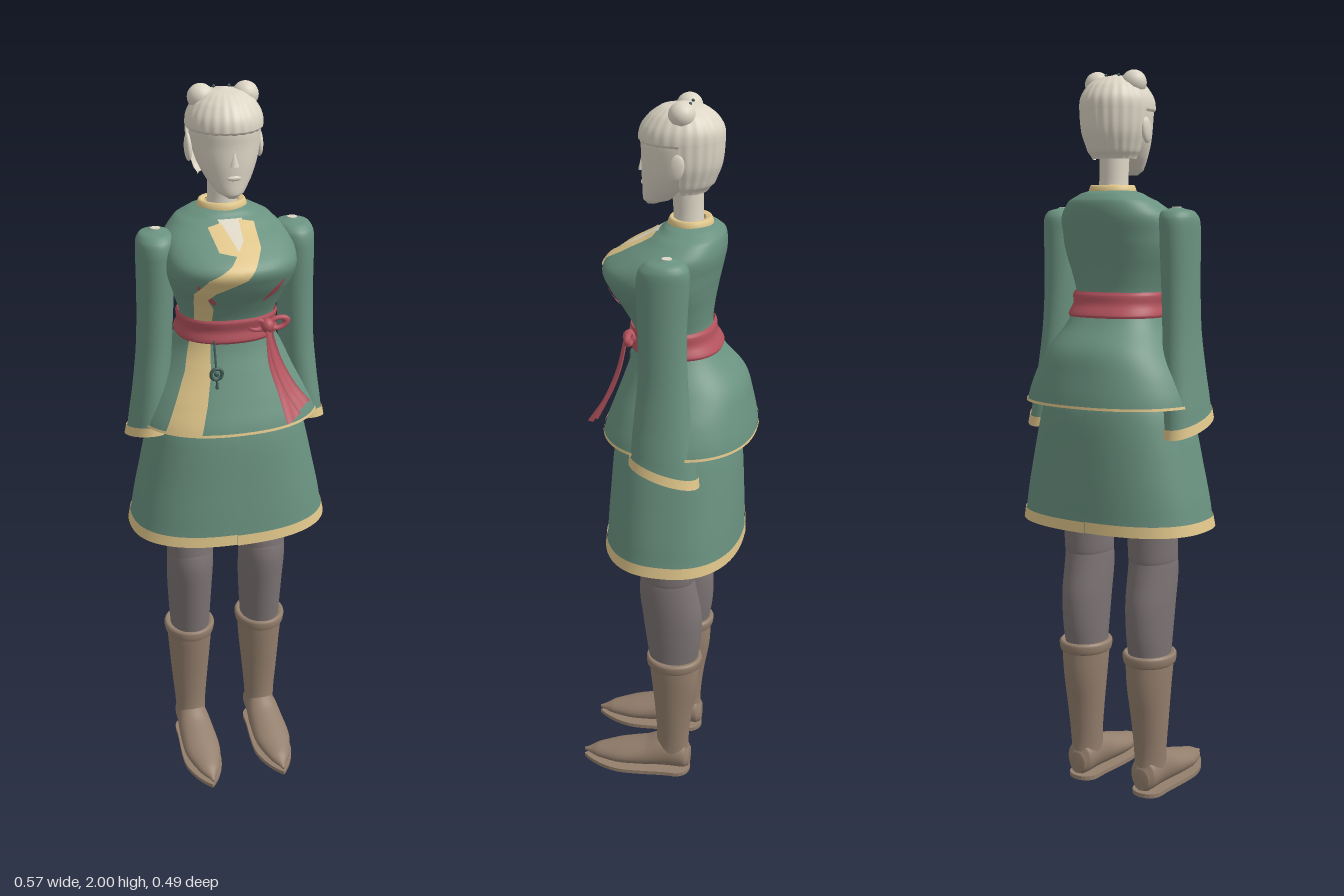
import * as THREE from 'three';

const mat = (name, color, side = THREE.DoubleSide) => {
  const m = new THREE.MeshStandardMaterial({ color, side });
  m.name = name;
  return m;
};

// Smoothly resample sections [y, centreX, radiusX, zFront, zBack, tilt]
function resample(secs, steps) {
  const rows = [], n = secs.length;
  const at = (i, k) => secs[Math.min(n - 1, Math.max(0, i))][k] || 0;
  for (let i = 0; i < n - 1; i++) {
    for (let s = 0; s < steps + (i === n - 2 ? 1 : 0); s++) {
      const t = s / steps, row = [];
      for (let k = 0; k < 6; k++) {
        const p0 = at(i - 1, k), p1 = at(i, k), p2 = at(i + 1, k), p3 = at(i + 2, k);
        row.push(k === 0 ? p1 + (p2 - p1) * t : 0.5 * (2 * p1 + (p2 - p0) * t +
          (2 * p0 - 5 * p1 + 4 * p2 - p3) * t * t + (3 * p1 - p0 - 3 * p2 + p3) * t * t * t));
      }
      rows.push(row);
    }
  }
  return rows;
}

// Loft super-elliptic rings from bottom to top; angle 0 faces +z
function loft(secs, { n = 2, a0 = 0, a1 = Math.PI * 2, seg = 48, off = 0, steps = 5, cap = false, groove = 0 } = {}) {
  const rows = resample(secs, steps), closed = a1 - a0 > 6.28;
  const cols = closed ? seg : seg + 1, pos = [], idx = [];
  const pw = v => Math.sign(v) * Math.pow(Math.abs(v), 2 / n);
  rows.forEach(([y, cx, rx, zf, zb, tilt]) => {
    const mid = (zf + zb) / 2, h = (zf - zb) / 2 + off;
    for (let j = 0; j < cols; j++) {
      const a = a0 + (a1 - a0) * j / seg, g = 1 + groove * Math.cos(a * 24);
      const z = h * g * pw(Math.cos(a));
      pos.push(cx + (rx + off) * g * pw(Math.sin(a)), y + tilt * z, mid + z);
    }
  });
  for (let i = 0; i < rows.length - 1; i++) {
    for (let j = 0; j < seg; j++) {
      const k = (j + 1) % cols, a = i * cols + j, b = i * cols + k;
      idx.push(a, b, b + cols, a, b + cols, a + cols);
    }
  }
  if (cap) {
    [0, rows.length - 1].forEach(r => {
      const c = pos.length / 3, [y, cx, , zf, zb] = rows[r];
      pos.push(cx, y, (zf + zb) / 2);
      for (let j = 0; j < seg; j++) {
        const a = r * cols + j, b = r * cols + (j + 1) % cols;
        r ? idx.push(a, b, c) : idx.push(b, a, c);
      }
    });
  }
  const g = new THREE.BufferGeometry();
  g.setAttribute('position', new THREE.Float32BufferAttribute(pos, 3));
  g.setIndex(idx);
  g.computeVertexNormals();
  return g;
}

// Jacket body, from peplum hem to neck
const N = 2.3;
const jacket = [
  [1.12, 0, 0.252, 0.17, -0.243], [1.2, 0, 0.222, 0.142, -0.228], [1.27, 0, 0.178, 0.116, -0.208],
  [1.34, 0, 0.137, 0.093, -0.15], [1.4, 0, 0.124, 0.088, -0.118], [1.46, 0, 0.142, 0.115, -0.12],
  [1.53, 0, 0.17, 0.158, -0.132], [1.575, 0, 0.174, 0.168, -0.142], [1.62, 0, 0.163, 0.105, -0.15],
  [1.66, 0, 0.125, 0.035, -0.147], [1.68, 0, 0.085, 0.008, -0.13], [1.69, 0, 0.058, -0.005, -0.108],
];
const jacketRows = resample(jacket, 5);
function jacketAt(y) {
  const i = Math.max(1, jacketRows.findIndex(r => r[0] >= y));
  const a = jacketRows[i - 1], b = jacketRows[i], t = (y - a[0]) / (b[0] - a[0]);
  return a.map((v, k) => v + (b[k] - v) * t);
}

// Grid of points from a function of (u, v)
function sheet(fn, nu, nv) {
  const pos = [], idx = [];
  for (let i = 0; i <= nv; i++) for (let j = 0; j <= nu; j++) pos.push(...fn(j / nu, i / nv));
  for (let i = 0; i < nv; i++) for (let j = 0; j < nu; j++) {
    const a = i * (nu + 1) + j, c = a + nu + 1;
    idx.push(a, c, a + 1, a + 1, c, c + 1);
  }
  const g = new THREE.BufferGeometry();
  g.setAttribute('position', new THREE.Float32BufferAttribute(pos, 3));
  g.setIndex(idx);
  g.computeVertexNormals();
  return g;
}

// Thin trim lying on the jacket front; pairs are [x1, y1, x2, y2] edge points
function trim(pairs, off) {
  const m = pairs.length - 1;
  return sheet((u, v) => {
    const i = Math.min(m - 1, Math.floor(v * m)), t = v * m - i;
    const [x1, y1, x2, y2] = pairs[i].map((p, k) => p + (pairs[i + 1][k] - p) * t);
    const x = x1 + (x2 - x1) * u, y = y1 + (y2 - y1) * u;
    const [, , rx, zf, zb] = jacketAt(y);
    const q = Math.min(1, Math.abs(x) / (rx + off));
    return [x, y, (zf + zb) / 2 + ((zf - zb) / 2 + off) * Math.pow(1 - Math.pow(q, N), 1 / N)];
  }, 10, m * 8);
}

export function createModel() {
  const root = new THREE.Group();
  const green = mat('green cloth', 0x6a9280), gold = mat('gold trim', 0xe0c68a);
  const red = mat('red sash', 0xb5535e), grey = mat('grey trousers', 0x7d7474);
  const brown = mat('brown leather', 0x947f6d), cream = mat('cream skin and hair', 0xddd6c6);
  const dark = mat('dark pendant', 0x3d5a54);
  const add = (name, geo, m, p = [0, 0, 0], s = [1, 1, 1]) => {
    const mesh = new THREE.Mesh(geo, m);
    mesh.name = name;
    mesh.position.set(...p);
    mesh.scale.set(...s);
    root.add(mesh);
    return mesh;
  };

  // Jacket with hem, collar and crossed lapels
  add('jacket', loft(jacket, { n: N, seg: 80 }), green);
  add('jacketHem', loft([jacket[0], jacketAt(1.127)], { n: N, seg: 80, off: 0.003, steps: 1 }), gold);
  add('collar', loft([[1.672, 0, 0.066, 0.002, -0.116], [1.688, 0, 0.066, 0.002, -0.116],
    [1.702, 0, 0.06, -0.004, -0.11], [1.698, 0, 0.045, -0.018, -0.096]], { steps: 3 }), gold);
  add('neckline', trim([[-0.032, 1.668, 0.032, 1.668], [-0.005, 1.605, 0.025, 1.605]], 0.003), cream);
  add('innerLapel', trim([[-0.062, 1.655, -0.026, 1.663], [-0.052, 1.612, 0.002, 1.602]], 0.004), gold);
  add('outerLapel', trim([[0.022, 1.667, 0.062, 1.66], [0.018, 1.63, 0.058, 1.615], [-0.03, 1.588, 0.008, 1.553],
    [-0.09, 1.555, -0.068, 1.515], [-0.12, 1.51, -0.085, 1.492], [-0.112, 1.46, -0.066, 1.46],
    [-0.105, 1.41, -0.065, 1.41]], 0.005), gold);
  add('lowerBand', trim([[-0.115, 1.36, -0.068, 1.36], [-0.135, 1.28, -0.073, 1.28],
    [-0.168, 1.2, -0.09, 1.2], [-0.2, 1.123, -0.112, 1.123]], 0.005), gold);

  // Sash, knot, bow loops and tails
  add('sash', loft([1.352, 1.36, 1.385, 1.41, 1.42].map((y, i) => {
    const r = jacketAt(y), e = [0.004, 0.01, 0.007, 0.01, 0.004][i];
    return [y, 0, r[2] + e, r[3] + e, r[4] - e];
  }), { n: N, steps: 3 }), red);
  const ball = new THREE.SphereGeometry(1, 20, 14);
  add('sashKnot', ball, red, [0.085, 1.392, 0.088], [0.018, 0.02, 0.02]);
  [-1, 1].forEach(s => {
    const loop = add('bowLoop', new THREE.TorusGeometry(0.02, 0.009, 8, 20), red, [0.085 + s * 0.03, 1.396, 0.085], [1.2, 0.7, 1]);
    loop.rotation.z = s * 0.2;
  });
  [[0.137, 1.16, 0.19], [0.17, 1.185, 0.168]].forEach(([x, y, z], k) => {
    const path = new THREE.CatmullRomCurve3([new THREE.Vector3(0.085, 1.385, 0.1),
      new THREE.Vector3(0.093 + k * 0.012, 1.3, 0.118), new THREE.Vector3(0.115 + k * 0.02, 1.23, 0.145),
      new THREE.Vector3(x - 0.005, y, z)]);
    add('sashTail', sheet((u, v) => {
      const p = path.getPoint(v), w = (u - 0.5) * (0.018 + 0.026 * v);
      return [p.x + w, p.y + w * 0.35, p.z - w * 0.5 + 0.004 * Math.sin(u * 6.28)];
    }, 6, 16), red);
  });
  [-1, 1].forEach(s => add('bustRibbon', trim([[s * 0.06, 1.478, s * 0.066, 1.474],
    [s * 0.085, 1.512, s * 0.1, 1.5], [s * 0.113, 1.538, s * 0.116, 1.534]], 0.004), red));

  // Pendant hanging from the sash
  add('pendantCord', new THREE.CylinderGeometry(0.003, 0.003, 0.07, 6), dark, [-0.06, 1.33, 0.1]).rotation.x = -0.3;
  add('pendantRing', new THREE.TorusGeometry(0.015, 0.005, 8, 20), dark, [-0.06, 1.28, 0.115]);
  add('pendantBead', ball, dark, [-0.06, 1.28, 0.115], [0.007, 0.007, 0.006]);
  add('pendantTassel', new THREE.CylinderGeometry(0.002, 0.005, 0.025, 6), dark, [-0.06, 1.253, 0.12]);

  // Skirt of two panels meeting at the front and back centre
  const skirt = [[0.78, 0, 0.281, 0.166, -0.216], [0.81, 0, 0.275, 0.163, -0.215], [0.95, 0, 0.247, 0.153, -0.211],
    [1.1, 0, 0.212, 0.138, -0.2], [1.2, 0, 0.17, 0.1, -0.17]];
  [0, 1].forEach(k => {
    const o = { n: 2.4, a0: k * Math.PI - 0.03, a1: (k + 1) * Math.PI + 0.03, off: -0.005 * k };
    add(k ? 'rightSkirtPanel' : 'leftSkirtPanel', loft(skirt, o), green);
    add('skirtHem', loft(skirt.slice(0, 2), { ...o, off: o.off + 0.003, steps: 1 }), gold);
  });

  // Sleeves with slanted cuffs, trousers and boots
  const soleShape = new THREE.Shape();
  soleShape.moveTo(0, -0.245);
  soleShape.bezierCurveTo(0.03, -0.215, 0.058, -0.16, 0.056, -0.11);
  soleShape.bezierCurveTo(0.054, -0.04, 0.044, 0.0, 0.046, 0.04);
  soleShape.bezierCurveTo(0.046, 0.1, -0.046, 0.1, -0.046, 0.04);
  soleShape.bezierCurveTo(-0.044, 0.0, -0.054, -0.04, -0.056, -0.11);
  soleShape.bezierCurveTo(-0.058, -0.16, -0.03, -0.215, 0, -0.245);
  const sole = new THREE.ExtrudeGeometry(soleShape, { depth: 0.012, bevelEnabled: false, curveSegments: 10 }).rotateX(-Math.PI / 2);
  [-1, 1].forEach(s => {
    const side = s > 0 ? 'left' : 'right', mir = a => a.map(([y, cx, ...r]) => [y, cx * s, ...r]);
    const cuff = [[1.066, 0.222, 0.056, 0.063, -0.118, 0.3], [1.092, 0.219, 0.054, 0.061, -0.115, 0.3]];
    add(side + 'Sleeve', loft(mir([cuff[0], cuff[1], [1.2, 0.208, 0.05, 0.055, -0.098, 0.1], [1.32, 0.198, 0.047, 0.045, -0.085],
      [1.45, 0.192, 0.048, 0.045, -0.081], [1.58, 0.189, 0.05, 0.049, -0.086], [1.615, 0.187, 0.05, 0.043, -0.085],
      [1.634, 0.185, 0.041, 0.022, -0.072], [1.643, 0.184, 0.012, -0.015, -0.042]]), { cap: false }), green);
    add(side + 'Cuff', loft(mir(cuff), { off: 0.004, steps: 1 }), gold);
    add(side + 'ShoulderPin', new THREE.CylinderGeometry(0.013, 0.013, 0.02, 16), cream, [s * 0.184, 1.635, -0.028]);

    add(side + 'Thigh', loft(mir([[0.66, 0.108, 0.062, 0.058, -0.09], [0.69, 0.108, 0.067, 0.058, -0.094],
      [0.78, 0.108, 0.069, 0.05, -0.096], [1.05, 0.105, 0.075, 0.05, -0.11]]), { cap: true }), grey);
    add(side + 'Shin', loft(mir([[0.39, 0.108, 0.056, 0.035, -0.1], [0.47, 0.108, 0.06, 0.045, -0.113],
      [0.56, 0.108, 0.064, 0.056, -0.115], [0.64, 0.108, 0.066, 0.064, -0.1], [0.69, 0.108, 0.064, 0.058, -0.09],
      [0.7, 0.108, 0.05, 0.045, -0.08]]), { cap: true }), grey);
    add(side + 'Boot', loft(mir([[0.06, 0.11, 0.043, 0.03, -0.082], [0.12, 0.11, 0.045, 0.016, -0.08],
      [0.22, 0.11, 0.053, 0.02, -0.09], [0.32, 0.109, 0.061, 0.03, -0.106], [0.4, 0.109, 0.066, 0.037, -0.108]])), brown);
    add(side + 'BootCuff', loft(mir([[0.384, 0.109, 0.064, 0.035, -0.106], [0.39, 0.109, 0.071, 0.043, -0.114],
      [0.412, 0.109, 0.074, 0.045, -0.117], [0.42, 0.109, 0.068, 0.04, -0.111], [0.415, 0.109, 0.054, 0.025, -0.098]]), { steps: 3 }), brown);
    const foot = [[-0.084, 0.11, 0.025, -0.02, -0.08], [-0.07, 0.11, 0.04, -0.014, -0.11], [-0.01, 0.11, 0.046, -0.014, -0.128],
      [0.05, 0.11, 0.052, -0.014, -0.1], [0.13, 0.11, 0.052, -0.014, -0.075], [0.2, 0.109, 0.03, -0.016, -0.053],
      [0.244, 0.108, 0.004, -0.022, -0.032]];
    add(side + 'Foot', loft(mir(foot), { seg: 32, cap: true }).rotateX(Math.PI / 2), brown);
    add(side + 'Sole', sole, brown, [s * 0.11, 0, 0]);

    // Ears and hair buns
    add(side + 'Ear', ball, cream, [s * 0.093, 1.845, -0.035], [0.01, 0.035, 0.02]).rotation.x = -0.2;
    add(side + 'Bun', ball, cream, [s * 0.058, 1.967, -0.042], [0.034, 0.033, 0.034]);
    add(side + 'BunTie', new THREE.TorusGeometry(0.026, 0.004, 6, 20).rotateX(Math.PI / 2), cream, [s * 0.056, 1.948, -0.042]);
    add(side + 'HairPin', ball, dark, [s * 0.02, 1.988, -0.057], [0.004, 0.004, 0.004]);
  });

  // Neck, face and hair
  add('neck', loft([[1.64, 0, 0.05, 0.0, -0.1], [1.7, 0, 0.04, -0.012, -0.09], [1.8, 0, 0.04, -0.005, -0.09]]), cream);
  add('face', loft([[1.73, 0, 0.012, 0.058, 0.03], [1.742, 0, 0.034, 0.067, -0.005], [1.775, 0, 0.058, 0.068, -0.05],
    [1.815, 0, 0.077, 0.07, -0.09], [1.86, 0, 0.088, 0.07, -0.115], [1.91, 0, 0.09, 0.07, -0.125],
    [1.96, 0, 0.07, 0.04, -0.1]], { cap: true }), cream);
  const nose = add('nose', new THREE.ConeGeometry(0.012, 0.04, 8), cream, [0, 1.835, 0.07]);
  nose.scale.z = 0.8;
  add('lips', ball, cream, [0, 1.785, 0.066], [0.018, 0.007, 0.006]);
  add('hairCap', loft([[1.893, 0, 0.094, 0.072, -0.138], [1.9, 0, 0.098, 0.077, -0.142], [1.93, 0, 0.094, 0.071, -0.139],
    [1.96, 0, 0.077, 0.048, -0.119], [1.98, 0, 0.05, 0.018, -0.088], [1.99, 0, 0.006, -0.03, -0.042]],
  { seg: 144, groove: 0.01, cap: true }), cream);
  add('hairBack', loft([[1.77, 0, 0.066, 0.03, -0.1], [1.79, 0, 0.078, 0.05, -0.117], [1.84, 0, 0.093, 0.068, -0.136],
    [1.9, 0, 0.098, 0.077, -0.142]], { a0: 1.65, a1: Math.PI * 2 - 1.65, seg: 90, groove: 0.01 }), cream);

  return root;
}
